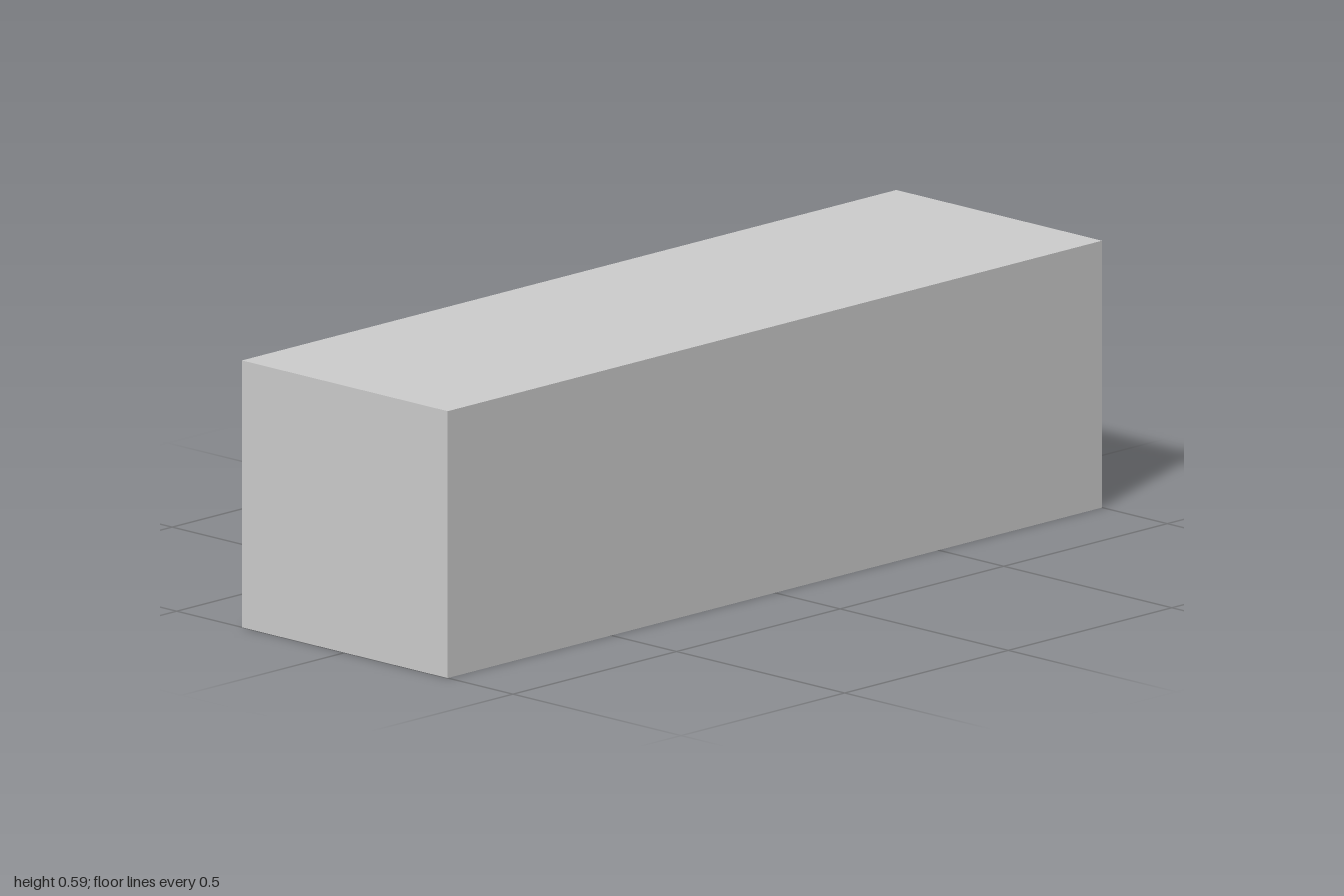
import * as THREE from 'three';

const W = 2, H = 0.588, D = 0.612; // overall size
const T = 0.056;                   // upright and front panel thickness
const TOP = 0.059;                 // top slab thickness
const BAYS = 3;

export function createModel() {
  const group = new THREE.Group();
  const material = new THREE.MeshStandardMaterial({ color: 0xcccccc, flatShading: true });

  // Top slab and uprights: one comb-shaped profile, open at the back and below
  const pitch = (W - T) / BAYS;
  const comb = new THREE.Shape();
  comb.moveTo(-W / 2, H);
  comb.lineTo(-W / 2, 0);
  for (let i = 0; i < BAYS; i++) {
    const left = -W / 2 + i * pitch + T, right = -W / 2 + (i + 1) * pitch;
    comb.lineTo(left, 0);
    comb.lineTo(left, H - TOP);
    comb.lineTo(right, H - TOP);
    comb.lineTo(right, 0);
  }
  comb.lineTo(W / 2, 0);
  comb.lineTo(W / 2, H);
  comb.closePath();
  const frame = new THREE.Mesh(
    new THREE.ExtrudeGeometry(comb, { depth: D - T, bevelEnabled: false }), material);
  frame.position.z = -D / 2;
  frame.name = 'topAndDividers';
  group.add(frame);

  // Closed front panel
  const front = new THREE.Mesh(new THREE.BoxGeometry(W, H, T), material);
  front.position.set(0, H / 2, D / 2 - T / 2);
  front.name = 'frontPanel';
  group.add(front);

  return group;
}
